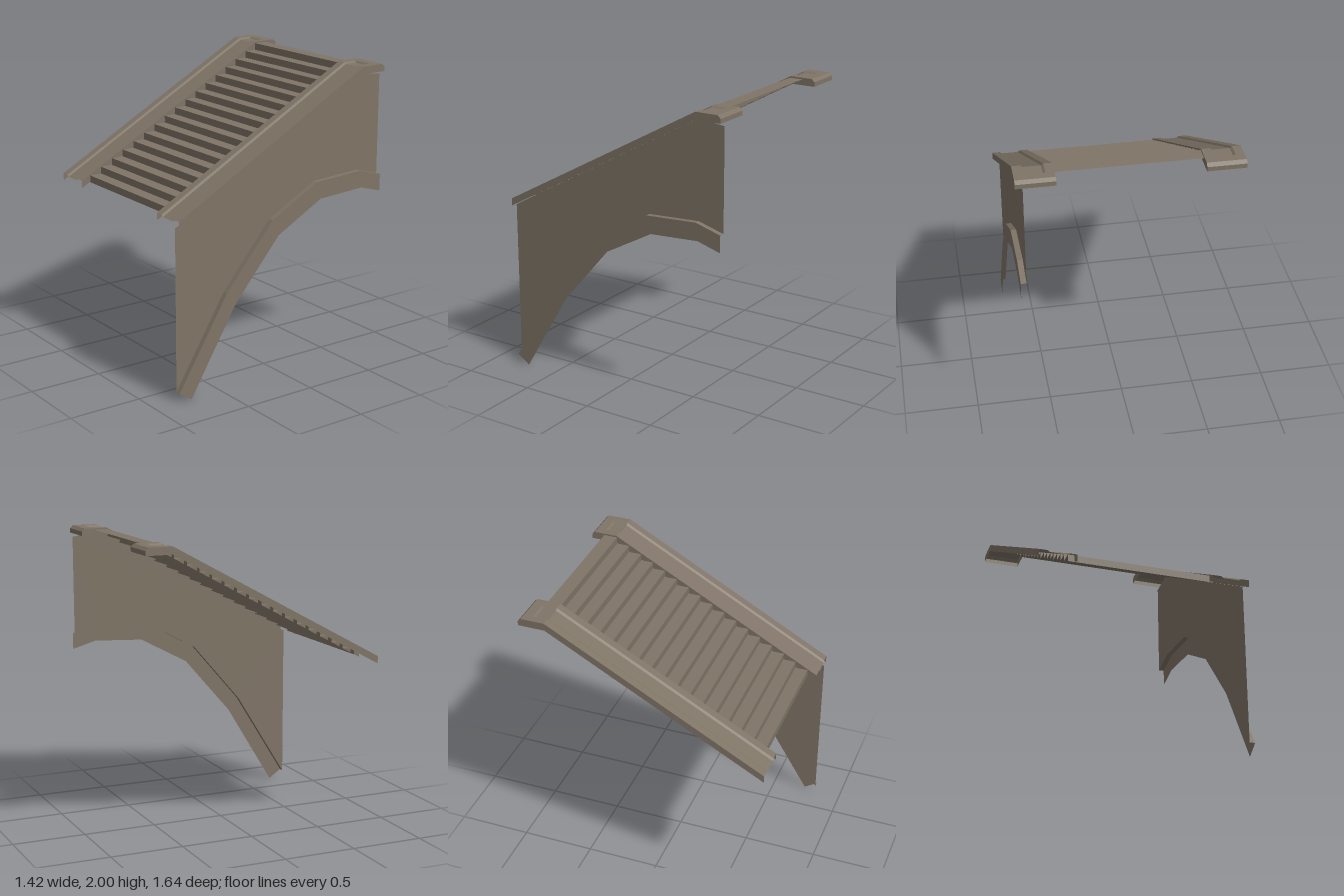
import * as THREE from 'three';

// Open faceted sheet stretched between rows of [x, y, z] points
function sheet(rows) {
  const pos = [];
  for (let i = 0; i < rows.length - 1; i++) {
    for (let j = 0; j < rows[i].length - 1; j++) {
      const a = rows[i][j], b = rows[i][j + 1], c = rows[i + 1][j + 1], d = rows[i + 1][j];
      pos.push(...a, ...b, ...c, ...a, ...c, ...d);
    }
  }
  const g = new THREE.BufferGeometry();
  g.setAttribute('position', new THREE.Float32BufferAttribute(pos, 3));
  g.computeVertexNormals();
  return g;
}

export function createModel() {
  const stone = new THREE.MeshStandardMaterial({ color: 0x7f7466, side: THREE.DoubleSide, flatShading: true });
  stone.name = 'weathered stone';
  const model = new THREE.Group();
  model.name = 'staircase';
  const add = (parent, name, geometry) => {
    const m = new THREE.Mesh(geometry, stone);
    m.name = name;
    parent.add(m);
    return m;
  };

  // Steps: a folded sheet of risers and treads, ending in a landing
  const count = 17, run = 0.0869, rise = 0.0476, z0 = 0.755, y0 = 1.18;
  const fold = [];
  for (let i = 0; i < count; i++) {
    fold.push([y0 + i * rise, z0 - i * run], [y0 + (i + 1) * rise, z0 - i * run]);
  }
  fold.push([y0 + count * rise, -0.73]);
  add(model, 'steps', sheet(fold.map(([y, z]) => [[-0.505, y, z], [0.48, y, z]])));

  // Rails: hollow coping with side skirts and a sunken channel on top
  const half = 0.125, lip = 0.07, floor = 0.056, skirt = 0.05, sunk = 0.012;
  const path = [[1.2, 0.82], [2, -0.64], [2, -0.74]];
  const tail = [[2, -0.74], [2, -0.8], [1.98, -0.82], [1.95, -0.82]];
  for (const side of [1, -1]) {
    const rail = new THREE.Group();
    rail.name = side > 0 ? 'leftRail' : 'rightRail';
    rail.position.x = side * 0.585;

    add(rail, 'railTop', sheet(path.map(([y, z], i) => {
      const zf = i === 2 ? z + 0.014 : z; // the channel floor stops short at the bevelled end
      return [
        [-half, y, z], [-lip, y, z], [-floor, y - sunk, zf],
        [floor, y - sunk, zf], [lip, y, z], [half, y, z],
      ];
    })));
    add(rail, 'channelEnd', sheet([
      [[-floor, 2 - sunk, -0.726], [floor, 2 - sunk, -0.726]],
      [[-lip, 2, -0.74], [lip, 2, -0.74]],
    ]));
    add(rail, 'railEnd', sheet(tail.map(([y, z]) => [[-half, y, z], [half, y, z]])));

    const edge = [...path.slice(0, 2), [2, -0.8], [1.98, -0.82]];
    for (const s of [1, -1]) {
      const rows = edge.map(([y, z], i) => [
        [s * half, i < 2 ? y - skirt : 1.95, z], [s * half, y, z],
      ]);
      add(rail, s > 0 ? 'skirtLeft' : 'skirtRight', sheet(s > 0 ? rows : rows.reverse()));
    }
    model.add(rail);
  }

  // Side wall above an arched opening, given as [z, y]
  const inner = [[0.82, 0.06], [0.45, 0.66], [0.09, 1.08], [-0.27, 1.275], [-0.64, 1.295], [-0.82, 1.245]];
  const outer = [[0.73, 0], [0.385, 0.57], [0.04, 0.97], [-0.305, 1.157], [-0.655, 1.177], [-0.82, 1.13]];
  const outline = [...inner, [-0.82, 1.925], [-0.64, 1.95], [0.82, 1.147]];
  const wall = new THREE.ShapeGeometry(new THREE.Shape(outline.map(([z, y]) => new THREE.Vector2(z, y))));
  wall.rotateY(-Math.PI / 2);
  add(model, 'sideWall', wall).position.x = 0.663;

  // Raised rim following the arch
  add(model, 'archRim', sheet(inner.map(([z, y], i) => [
    [0.7, outer[i][1], outer[i][0]], [0.7, y, z], [0.663, y, z],
  ])));

  return model;
}
